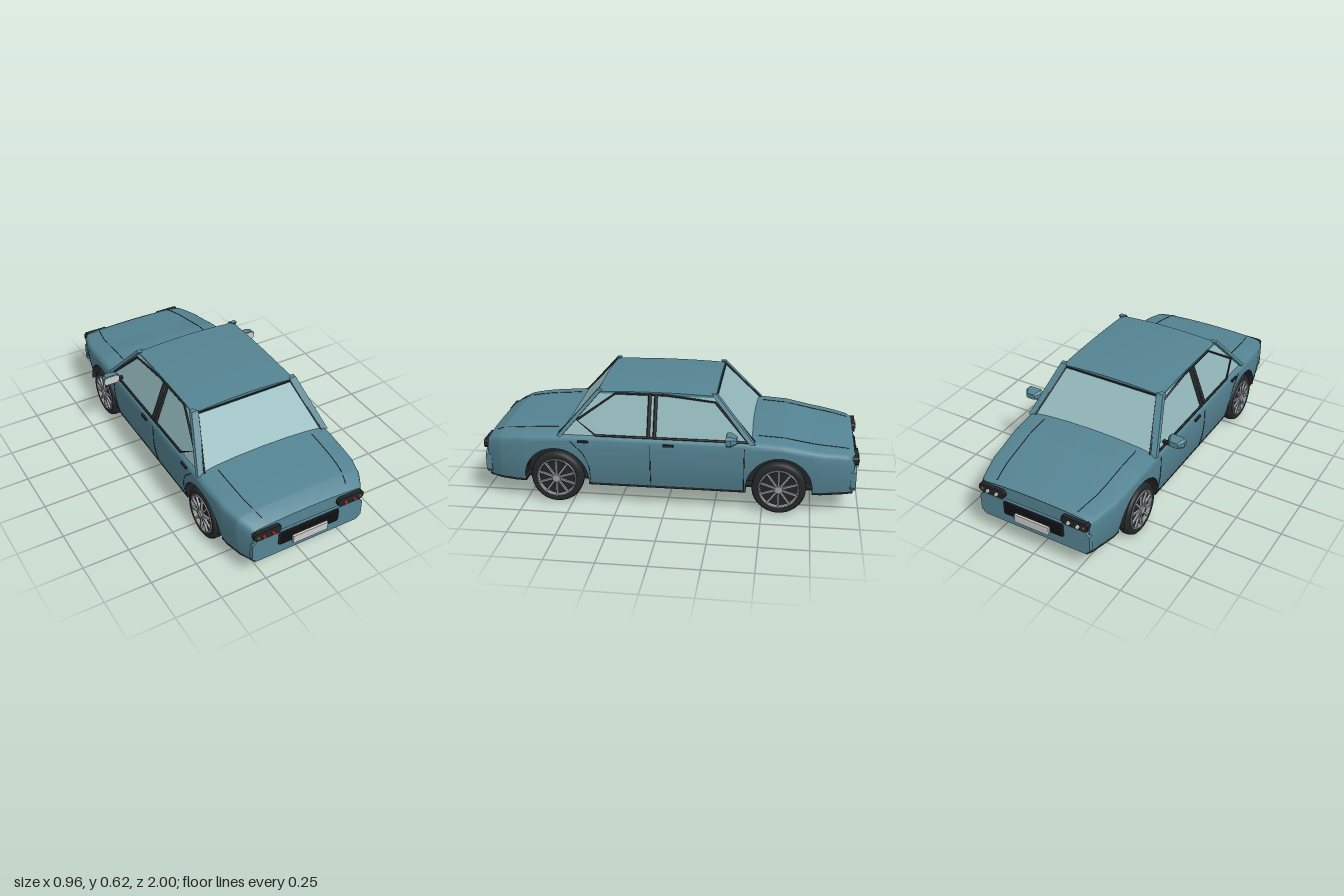
import * as THREE from 'three';
import { ConvexGeometry } from 'three/addons/geometries/ConvexGeometry.js';

const mat = (color, side = THREE.FrontSide) => new THREE.MeshStandardMaterial({ color, side });
const paint = mat(0x558493), dark = mat(0x222527, THREE.DoubleSide), glass = mat(0x93b8bb);
const rubber = mat(0x25282a), metal = mat(0x9a9fa2), grey = mat(0xcccccc);
const red = mat(0xc8281e), amber = mat(0xe08a28), white = mat(0xf2f2ee);

const WHEELS = [0.58, -0.585], ARCH = 0.17, HUB = 0.14, FLOOR = 0.11, END = 0.965;

// piecewise linear lookup over [z, value] pairs in rising z
function lookup(table, z) {
  for (let i = 1; i < table.length; i++) {
    const [z0, a] = table[i - 1], [z1, b] = table[i];
    if (z <= z1) return a + (b - a) * Math.max(0, (z - z0) / (z1 - z0));
  }
  return table[table.length - 1][1];
}
const TOP = [[-END, 0.322], [-0.94, 0.336], [-0.88, 0.347], [-0.75, 0.365], [-0.6, 0.393], [-0.44, 0.402],
  [0.55, 0.402], [0.75, 0.388], [0.88, 0.372], [0.93, 0.352], [END, 0.33]];
const HALF = [[-END, 0.315], [-0.93, 0.332], [-0.8, 0.366], [-0.6, 0.38], [-0.44, 0.385], [0.6, 0.387],
  [0.8, 0.377], [0.89, 0.355], [0.93, 0.335], [END, 0.315]];
const top = z => lookup(TOP, z), half = z => lookup(HALF, z);
const sideX = (y, z) => half(z) * (1 - 0.07 * Math.max(0, (0.3 - y) / 0.19) ** 2);

// lower edge of the side panels, following the wheel arches
function lowerEdge(z) {
  for (const c of WHEELS) {
    const d = Math.abs(z - c);
    if (d <= ARCH + 1e-6) return HUB + Math.sqrt(Math.max(0, ARCH * ARCH - d * d));
  }
  return FLOOR;
}

// one cross-section from the lower left, over the top, to the lower right
function section(z) {
  const t = top(z), h = half(z), low = lowerEdge(z), pts = [];
  for (let i = 0; i <= 6; i++) {
    const y = low + (t - 0.04 - low) * i / 6;
    pts.push([sideX(y, z), y]);
  }
  pts.push([h * 0.98, t - 0.026], [h * 0.94, t - 0.014], [h * 0.72, t - 0.007], [h * 0.4, t - 0.002], [0, t]);
  return [...pts, ...pts.slice(0, -1).reverse().map(([x, y]) => [-x, y])];
}

function bodyShell() {
  const zs = [...TOP, ...HALF].map(p => p[0]);
  for (const c of WHEELS) {
    zs.push(c - ARCH - 0.001, c + ARCH + 0.001);
    for (let i = 0; i <= 20; i++) zs.push(c + ARCH * Math.cos(Math.PI * i / 20));
  }
  for (let z = -0.4; z < 0.5; z += 0.1) zs.push(z);
  zs.sort((a, b) => a - b);
  const stations = zs.filter((z, i) => i === 0 || z - zs[i - 1] > 1e-5);
  const pos = [], idx = [];
  let n = 0;
  stations.forEach((z, i) => {
    const s = section(z);
    n = s.length;
    s.forEach(([x, y]) => pos.push(x, y, z));
    if (i === 0) return;
    for (let j = 0; j < n - 1; j++) {
      const a = (i - 1) * n + j, b = a + n;
      idx.push(a, a + 1, b, a + 1, b + 1, b);
    }
  });
  const g = new THREE.BufferGeometry();
  g.setAttribute('position', new THREE.Float32BufferAttribute(pos, 3));
  g.setIndex(idx);
  g.computeVertexNormals();
  return g;
}

const shapeOf = pts => new THREE.Shape(pts.map(p => new THREE.Vector2(...p)));
const hull = pts => new ConvexGeometry(pts.map(p => new THREE.Vector3(...p)));

function add(parent, name, geometry, material, x = 0, y = 0, z = 0) {
  const m = new THREE.Mesh(geometry, material);
  m.name = name;
  m.position.set(x, y, z);
  parent.add(m);
  return m;
}
const box = (p, name, m, w, h, d, x, y, z) => add(p, name, new THREE.BoxGeometry(w, h, d), m, x, y, z);

// plate with cut corners, facing +z
function chamferPlate(w, h, c, depth) {
  const a = w / 2, b = h / 2;
  return new THREE.ExtrudeGeometry(shapeOf([[a - c, -b], [a, c - b], [a, b - c], [a - c, b],
    [c - a, b], [-a, b - c], [-a, c - b], [c - a, -b]]), { depth, bevelEnabled: false });
}
function line(p, name, pts, r, m = dark) {
  const path = new THREE.CurvePath(), v = pts.map(q => new THREE.Vector3(...q));
  for (let i = 1; i < v.length; i++) path.add(new THREE.LineCurve3(v[i - 1], v[i]));
  add(p, name, new THREE.TubeGeometry(path, Math.max(1, (v.length - 1) * 2), r, 6), m);
}

// bumper, grille, plate and lamps of one end, built facing +z
function endDetails(name, lampMaterial) {
  const g = new THREE.Group();
  g.name = name;
  add(g, 'endPanel', new THREE.ShapeGeometry(shapeOf(section(END))), paint, 0, 0, END);
  add(g, 'bumper', chamferPlate(0.64, 0.135, 0.025, 0.03), paint, 0, 0.187, 0.948);
  add(g, 'grille', chamferPlate(0.35, 0.078, 0.008, 0.02), dark, 0, 0.212, 0.963);
  for (let i = 0; i < 5; i++) box(g, 'grilleBar', rubber, 0.33, 0.005, 0.006, 0, 0.184 + i * 0.014, 0.985);
  box(g, 'numberPlate', grey, 0.2, 0.046, 0.014, 0, 0.187, 0.993);
  for (const s of [1, -1]) {
    add(g, 'lampHousing', chamferPlate(0.152, 0.046, 0.012, 0.03), dark, s * 0.241, 0.288, 0.955);
    for (const x of [0.21, 0.262]) {
      const lamp = add(g, 'lamp', new THREE.CylinderGeometry(0.01, 0.011, 0.014, 16), lampMaterial, s * x, 0.282, 0.986);
      lamp.rotation.x = Math.PI / 2;
    }
    box(g, 'indicator', amber, 0.01, 0.014, 0.01, s * 0.294, 0.285, 0.985);
  }
  return g;
}

function wheel() {
  const g = new THREE.Group();
  g.name = 'wheel';
  const tyre = [[0.1, -0.03], [0.122, -0.036], [0.134, -0.028], [0.14, -0.013], [0.14, 0.013], [0.134, 0.028], [0.122, 0.036], [0.1, 0.03]];
  const lathe = pts => new THREE.LatheGeometry(pts.map(p => new THREE.Vector2(...p)), 40).rotateZ(-Math.PI / 2);
  add(g, 'tyre', lathe(tyre), rubber);
  add(g, 'rim', lathe([[0.102, -0.03], [0.106, 0.034], [0.102, 0.038], [0.096, 0.036], [0.094, 0.018]]), mat(0x85898c, THREE.DoubleSide));
  const disc = r => new THREE.CylinderGeometry(r, r, 0.02, 28).rotateZ(Math.PI / 2);
  add(g, 'wheelDisc', disc(0.098), dark, 0.008);
  add(g, 'innerDisc', disc(0.098), metal, -0.016);
  add(g, 'hubCap', disc(0.021), metal, 0.034);
  for (let i = 0; i < 10; i++) {
    const spoke = add(g, 'spoke', new THREE.BoxGeometry(0.012, 0.084, 0.01).translate(0.031, 0.056, 0), metal);
    spoke.rotation.x = i * Math.PI / 5;
  }
  return g;
}

// parts repeated on both sides; s is +1 for left, -1 for right
function sideParts(car, s) {
  // corner pillars, standing slightly proud of the glass
  const pillar = (name, zb, zt, d) => {
    const quad = (x, y, z) => [[x - 0.022, y, z - d * 0.004], [x + 0.016, y, z - d * 0.004], [x + 0.018, y, z + d * 0.02], [x - 0.005, y, z + d * 0.024]]
      .map(([a, b, c]) => [s * a, b, c]);
    add(car, name, hull([...quad(0.37, 0.38, zb), ...quad(0.291, 0.614, zt)]), paint);
  };
  pillar('frontPillar', -0.455, -0.25, 1);
  pillar('rearPillar', 0.565, 0.362, -1);
  // window trim and middle pillars
  const belt = z => [s * 0.374, 0.39, z], rail = z => [s * 0.297, 0.598, z];
  line(car, 'windowTrim', [belt(-0.425), rail(-0.225), rail(0.335), belt(0.535), belt(-0.425)], 0.006);
  for (const z of [0.058, 0.09]) line(car, 'middlePillar', [belt(z), rail(z)], 0.009);
  for (const [zb, zt] of [[-0.455, -0.252], [0.565, 0.364]])
    line(car, 'screenTrim', [[s * 0.348, 0.385, zb], [s * 0.272, 0.602, zt]], 0.005);
  // door gaps, bonnet and boot gaps
  const onSide = (y, z) => [s * sideX(y, z), y, z];
  const ys = [0.115, 0.16, 0.2, 0.25, 0.3, 0.355];
  line(car, 'doorGap', ys.map(y => onSide(y, 0.08)), 0.002);
  line(car, 'doorGap', ys.map(y => onSide(y, -0.405)), 0.002);
  line(car, 'doorGap', [[0.115, 0.4], [0.2, 0.4], [0.28, 0.425], [0.355, 0.5]].map(p => onSide(...p)), 0.002);
  for (const range of [[0.58, 0.66, 0.75, 0.82, 0.88, 0.93], [-0.47, -0.6, -0.68, -0.75, -0.82, -0.88, -0.94]])
    line(car, 'lidGap', range.map(z => [s * half(z) * 0.72, top(z) - 0.007, z]), 0.002);
  for (const z of [0.43, -0.015]) box(car, 'doorHandle', dark, 0.016, 0.011, 0.055, s * 0.388, 0.357, z);
  // mirror with a stalk and rear-facing glass
  const mirror = new THREE.Group();
  mirror.name = 'mirror';
  mirror.position.set(s * 0.434, 0.424, -0.34);
  const head = [];
  for (const [z, k] of [[-0.03, 0.55], [0, 1], [0.022, 1]])
    for (const [x, y] of [[0.047, 0.014], [0.034, 0.027], [-0.034, 0.027], [-0.047, 0.014]]) head.push([x * k, y * k, z], [x * k, -y * k, z]);
  add(mirror, 'mirrorHousing', hull(head), paint);
  add(mirror, 'mirrorGlass', chamferPlate(0.084, 0.046, 0.011, 0.006), grey, 0, 0, 0.019);
  box(mirror, 'mirrorStalk', dark, 0.05, 0.014, 0.02, -s * 0.05, -0.022, 0);
  car.add(mirror);
  // wheels and their housings
  for (const c of WHEELS) {
    const w = wheel();
    w.position.set(s * 0.343, HUB, c);
    w.rotation.y = s > 0 ? 0 : Math.PI;
    car.add(w);
    add(car, 'archLiner', new THREE.CylinderGeometry(ARCH, ARCH, 0.09, 24, 1, true, 0, Math.PI).rotateZ(Math.PI / 2), dark, s * 0.333, HUB, c);
    add(car, 'archWall', new THREE.CircleGeometry(ARCH, 24, 0, Math.PI).rotateY(Math.PI / 2), dark, s * 0.29, HUB, c);
  }
}

export function createModel() {
  const car = new THREE.Group();
  car.name = 'car';
  add(car, 'body', bodyShell(), paint);

  // flat floor, notched around the wheels
  const edge = [[-END, 0], [-0.93, 0], [-0.8, 0]];
  for (const c of [...WHEELS].reverse()) edge.push([c - ARCH, 0], [c - ARCH, 1], [c + ARCH, 1], [c + ARCH, 0]);
  edge.push([0.8, 0], [0.89, 0], [END, 0]);
  const rim = edge.map(([z, notch]) => [notch ? 0.29 : sideX(FLOOR, z) + 0.002, z]);
  const outline = [...rim, ...[...rim].reverse().map(([x, z]) => [-x, z])];
  add(car, 'floor', new THREE.ExtrudeGeometry(shapeOf(outline), { depth: 0.012, bevelEnabled: false }).rotateX(Math.PI / 2), dark, 0, 0.117);

  // glasshouse and crowned roof
  const cabin = [];
  for (const s of [1, -1])
    cabin.push([s * 0.37, 0.378, -0.455], [s * 0.37, 0.378, 0.565], [s * 0.291, 0.603, -0.25], [s * 0.291, 0.603, 0.362]);
  add(car, 'windows', hull(cabin), glass);
  const roof = new THREE.BoxGeometry(0.592, 0.012, 0.614, 14, 1, 12);
  const p = roof.attributes.position;
  for (let i = 0; i < p.count; i++) {
    if (p.getY(i) > 0) p.setY(i, 0.025 - 0.014 * (p.getX(i) / 0.296) ** 2 - 0.008 * (p.getZ(i) / 0.307) ** 2);
  }
  roof.computeVertexNormals();
  add(car, 'roof', roof, paint, 0, 0.6, 0.056);
  for (const z of [-0.253, 0.365]) box(car, 'screenTopTrim', dark, 0.55, 0.008, 0.008, 0, 0.599, z);

  for (const s of [1, -1]) sideParts(car, s);
  car.add(endDetails('tailEnd', red));
  const nose = endDetails('noseEnd', white);
  nose.rotation.y = Math.PI;
  car.add(nose);
  return car;
}
